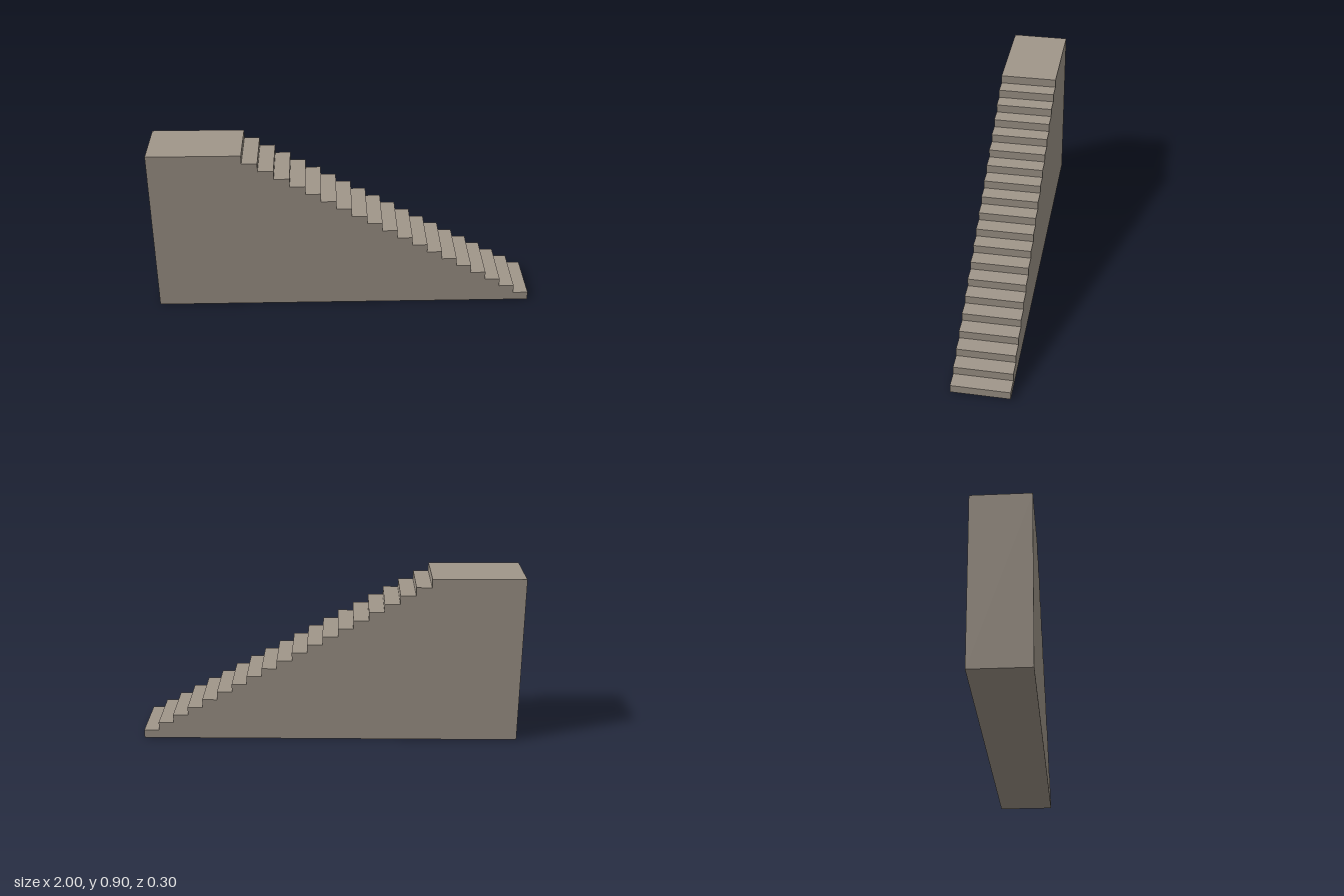
import * as THREE from 'three';

export function createModel() {
  const group = new THREE.Group();
  group.name = 'staircase';

  const stone = new THREE.MeshStandardMaterial({ color: 0xa0968a });
  stone.name = 'warm grey stone';

  const risers = 20, rise = 0.045, tread = 0.08, width = 0.3;

  // Side profile: flat base, stepped slope rising toward -x, landing at the top
  const profile = new THREE.Shape();
  profile.moveTo(-1, 0);
  profile.lineTo(1, 0);
  for (let i = 0; i < risers; i++) {
    const x = 1 - i * tread, y = (i + 1) * rise;
    profile.lineTo(x, y);
    profile.lineTo(i < risers - 1 ? x - tread : -1, y);
  }
  profile.closePath();

  // Solid flight of stairs with its landing
  const geometry = new THREE.ExtrudeGeometry(profile, { depth: width, bevelEnabled: false });
  geometry.translate(0, 0, -width / 2);
  const stairs = new THREE.Mesh(geometry, stone);
  stairs.name = 'stairsAndLanding';
  group.add(stairs);

  return group;
}
